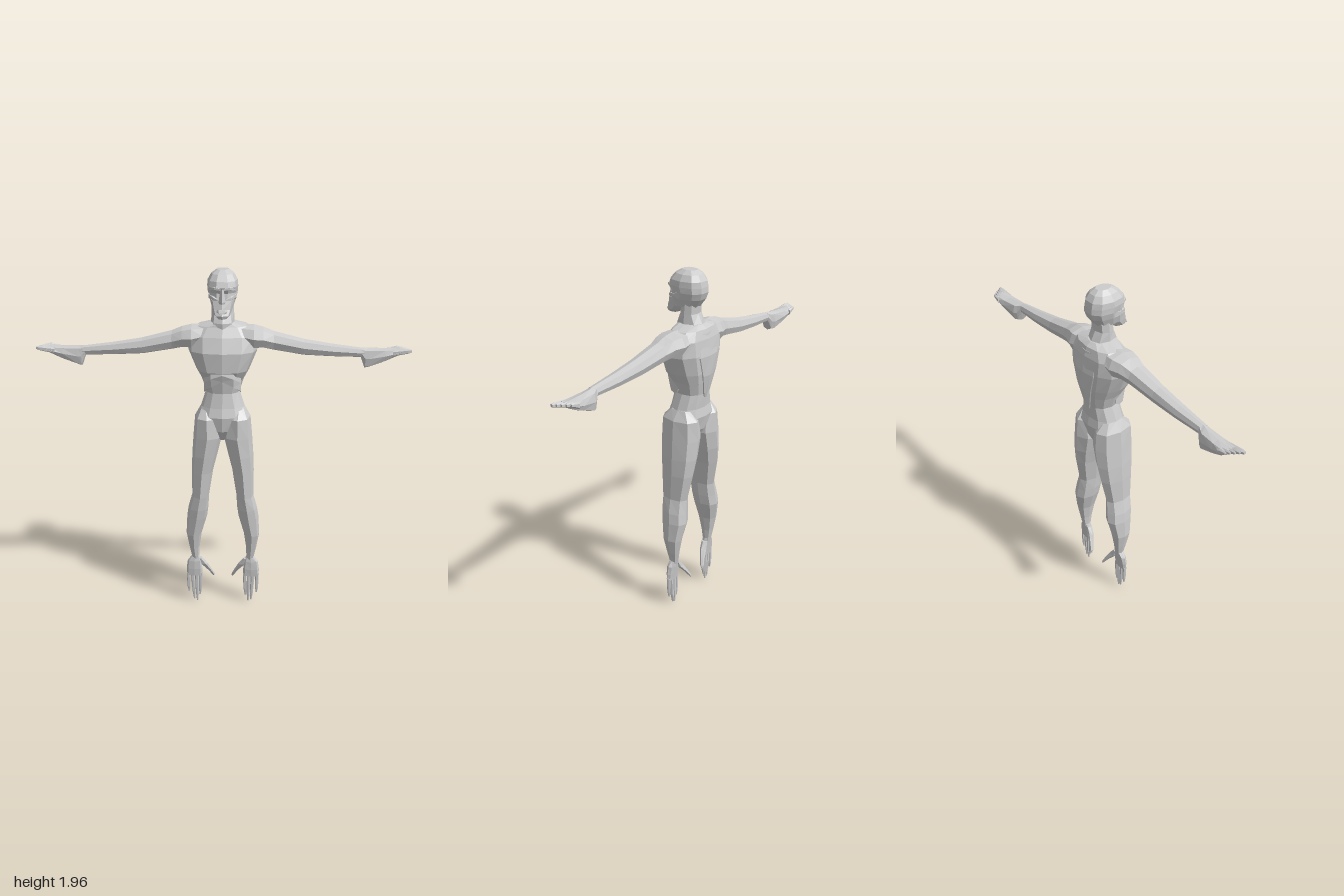
import * as THREE from 'three';

const skin = new THREE.MeshStandardMaterial({ color: 0xcccccc, flatShading: true });
skin.name = 'pale grey skin';

// Flip all triangles when the closed surface is inside out
function faceOutward(pos, idx) {
  const p = i => new THREE.Vector3(pos[3 * i], pos[3 * i + 1], pos[3 * i + 2]);
  let volume = 0;
  for (let i = 0; i < idx.length; i += 3) volume += p(idx[i]).dot(p(idx[i + 1]).cross(p(idx[i + 2])));
  if (volume < 0) for (let i = 0; i < idx.length; i += 3) [idx[i], idx[i + 1]] = [idx[i + 1], idx[i]];
}

// Closed loft. Each section is [position on axis, uMin, uMax, zBack, zFront];
// u is x when the axis is y, and y when the axis is x.
function loft(sections, { axis = 'y', sides = 8, power = 0.85, side = 1 } = {}) {
  const pos = [], idx = [];
  const put = (a, u, z) => (axis === 'y' ? pos.push(side * u, a, z) : pos.push(side * a, u, z));
  for (const [a, u0, u1, z0, z1] of sections) {
    for (let k = 0; k < sides; k++) {
      const t = (k / sides) * Math.PI * 2;
      const soft = v => (Math.abs(v) < 1e-6 ? 0 : Math.sign(v) * Math.abs(v) ** power);
      put(a, (u0 + u1) / 2 + soft(Math.cos(t)) * (u1 - u0) / 2, (z0 + z1) / 2 + soft(Math.sin(t)) * (z1 - z0) / 2);
    }
  }
  const last = sections.length - 1, caps = sections.length * sides;
  for (const [a, u0, u1, z0, z1] of [sections[0], sections[last]]) put(a, (u0 + u1) / 2, (z0 + z1) / 2);
  for (let k = 0; k < sides; k++) {
    const n = (k + 1) % sides;
    for (let i = 0; i < last; i++) {
      const a = i * sides + k, b = i * sides + n, c = a + sides, d = b + sides;
      idx.push(a, c, b, b, c, d);
    }
    idx.push(caps, k, n, caps + 1, last * sides + n, last * sides + k);
  }
  faceOutward(pos, idx);
  const g = new THREE.BufferGeometry();
  g.setAttribute('position', new THREE.Float32BufferAttribute(pos, 3));
  g.setIndex(idx);
  const flat = g.toNonIndexed();
  flat.computeVertexNormals();
  return flat;
}

export function createModel() {
  const model = new THREE.Group();
  model.name = 'figure';
  const add = (name, sections, options) => {
    const mesh = new THREE.Mesh(loft(sections, options), skin);
    mesh.name = name;
    model.add(mesh);
  };
  // Centred parts use [y, halfWidth, zBack, zFront]
  const centred = (name, rows, options) => add(name, rows.map(([y, w, b, f]) => [y, -w, w, b, f]), options);
  const pair = (name, sections, options = {}) => {
    add('left' + name, sections, { ...options, side: 1 });
    add('right' + name, sections, { ...options, side: -1 });
  };

  // Trunk, from crotch to collar
  centred('torso', [
    [1.04, 0.02, -0.06, 0.05], [1.1, 0.075, -0.095, 0.09], [1.18, 0.135, -0.11, 0.1],
    [1.23, 0.118, -0.1, 0.085], [1.31, 0.092, -0.105, 0.07], [1.38, 0.115, -0.12, 0.082],
    [1.435, 0.143, -0.13, 0.115], [1.54, 0.185, -0.135, 0.118], [1.62, 0.185, -0.125, 0.088],
    [1.67, 0.14, -0.11, 0.06], [1.69, 0.06, -0.085, 0.055]
  ], { sides: 12 });
  // Back muscle tapering to the waist
  centred('backMuscle', [
    [1.29, 0.012, -0.112, -0.06], [1.42, 0.06, -0.134, -0.06],
    [1.53, 0.1, -0.138, -0.06], [1.65, 0.08, -0.118, -0.04]
  ], { sides: 8 });
  // Rib arch, one panel on each side of the breastbone
  pair('RibArch', [
    [0, 1.38, 1.47, 0, 0.116], [0.06, 1.345, 1.46, 0, 0.106], [0.1, 1.31, 1.43, 0, 0.055]
  ], { axis: 'x', power: 0.6 });

  // Neck and head
  centred('neck', [
    [1.64, 0.09, -0.11, 0.065], [1.69, 0.062, -0.08, 0.066],
    [1.74, 0.06, -0.055, 0.04], [1.83, 0.055, -0.06, 0.03]
  ]);
  centred('skull', [
    [1.775, 0.055, -0.055, 0.09], [1.82, 0.071, -0.09, 0.105], [1.855, 0.079, -0.103, 0.098],
    [1.885, 0.081, -0.102, 0.116], [1.915, 0.078, -0.096, 0.104],
    [1.947, 0.06, -0.075, 0.075], [1.967, 0.032, -0.045, 0.04]
  ], { sides: 10 });
  centred('jaw', [
    [1.728, 0.022, 0.075, 0.13], [1.745, 0.042, 0.04, 0.136], [1.775, 0.054, 0, 0.122], [1.82, 0.064, 0, 0.108]
  ], { power: 0.75 });
  centred('nose', [[1.805, 0.015, 0.09, 0.13], [1.815, 0.018, 0.09, 0.133], [1.88, 0.008, 0.09, 0.117]], { sides: 4, power: 1 });
  centred('lips', [[1.757, 0.02, 0.1, 0.137], [1.765, 0.032, 0.09, 0.135], [1.776, 0.028, 0.09, 0.13]], { sides: 6 });
  pair('Brow', [[0.008, 1.87, 1.885, 0.08, 0.118], [0.04, 1.873, 1.893, 0.07, 0.112], [0.07, 1.86, 1.885, 0.04, 0.068]], { axis: 'x', sides: 6 });
  pair('Cheekbone', [[0.022, 1.817, 1.83, 0.08, 0.114], [0.045, 1.815, 1.84, 0.06, 0.104], [0.073, 1.822, 1.852, 0.01, 0.05]], { axis: 'x', sides: 6 });

  // Arms, stretched sideways
  pair('Arm', [
    [0.1, 1.57, 1.675, -0.1, 0.065], [0.165, 1.545, 1.675, -0.1, 0.078], [0.215, 1.55, 1.664, -0.08, 0.07],
    [0.27, 1.54, 1.642, -0.06, 0.056], [0.43, 1.515, 1.602, -0.042, 0.05],
    [0.58, 1.508, 1.577, -0.035, 0.042], [0.75, 1.505, 1.555, -0.022, 0.03]
  ], { axis: 'x' });
  // Feet at the ends of the arms
  pair('Foot', [
    [0.735, 1.505, 1.556, -0.022, 0.03], [0.757, 1.447, 1.556, -0.035, 0.033], [0.775, 1.447, 1.555, -0.046, 0.033],
    [0.86, 1.48, 1.55, -0.056, 0.03], [0.92, 1.51, 1.55, -0.062, 0.027], [0.945, 1.525, 1.55, -0.05, 0.027]
  ], { axis: 'x', power: 0.7 });
  for (let i = 0; i < 5; i++) {
    const z = 0.015 - i * 0.018, tip = 1 - i * 0.013, r = i ? 0.009 : 0.013;
    pair('Toe' + (i + 1), [
      [0.9, 1.512, 1.546, z - r, z + r], [tip - 0.02, 1.528, 1.553, z - r, z + r], [tip, 1.536, 1.552, z - r * 0.6, z + r * 0.6]
    ], { axis: 'x', sides: 6 });
  }

  // Legs
  pair('Leg', [
    [1.225, 0.06, 0.12, -0.07, 0.05], [1.17, 0.015, 0.152, -0.115, 0.108], [1.06, 0.002, 0.162, -0.122, 0.112],
    [0.95, 0.028, 0.17, -0.118, 0.105], [0.85, 0.053, 0.174, -0.105, 0.095], [0.7, 0.077, 0.173, -0.075, 0.084],
    [0.62, 0.082, 0.195, -0.08, 0.077], [0.56, 0.09, 0.204, -0.085, 0.068], [0.45, 0.122, 0.21, -0.062, 0.05],
    [0.36, 0.135, 0.194, -0.045, 0.03], [0.285, 0.138, 0.178, -0.032, 0.015]
  ]);
  // Hands at the ends of the legs
  pair('Palm', [
    [0.305, 0.138, 0.178, -0.03, 0.013], [0.27, 0.125, 0.205, -0.025, 0.018],
    [0.22, 0.12, 0.212, -0.018, 0.018], [0.175, 0.12, 0.21, -0.012, 0.014]
  ], { power: 0.7 });
  // Fingers: base x, tip x, tip y
  [[0.129, 0.134, 0.045], [0.153, 0.15, 0.005], [0.177, 0.167, 0.014], [0.201, 0.199, 0.065]].forEach(([x0, x1, y], i) => {
    const ring = (t, r) => {
      const x = x0 + (x1 - x0) * t;
      return [0.19 + (y - 0.19) * t, x - r, x + r, -r, r];
    };
    pair('Finger' + (i + 1), [ring(0, 0.011), ring(0.4, 0.0105), ring(0.75, 0.009), ring(1, 0.004)], { sides: 6 });
  });
  pair('Thumb', [
    [0.285, 0.12, 0.15, -0.025, 0.01], [0.245, 0.09, 0.135, -0.032, 0.002],
    [0.2, 0.068, 0.096, -0.045, -0.018], [0.165, 0.052, 0.072, -0.054, -0.034], [0.147, 0.051, 0.059, -0.054, -0.045]
  ], { sides: 6 });

  return model;
}
